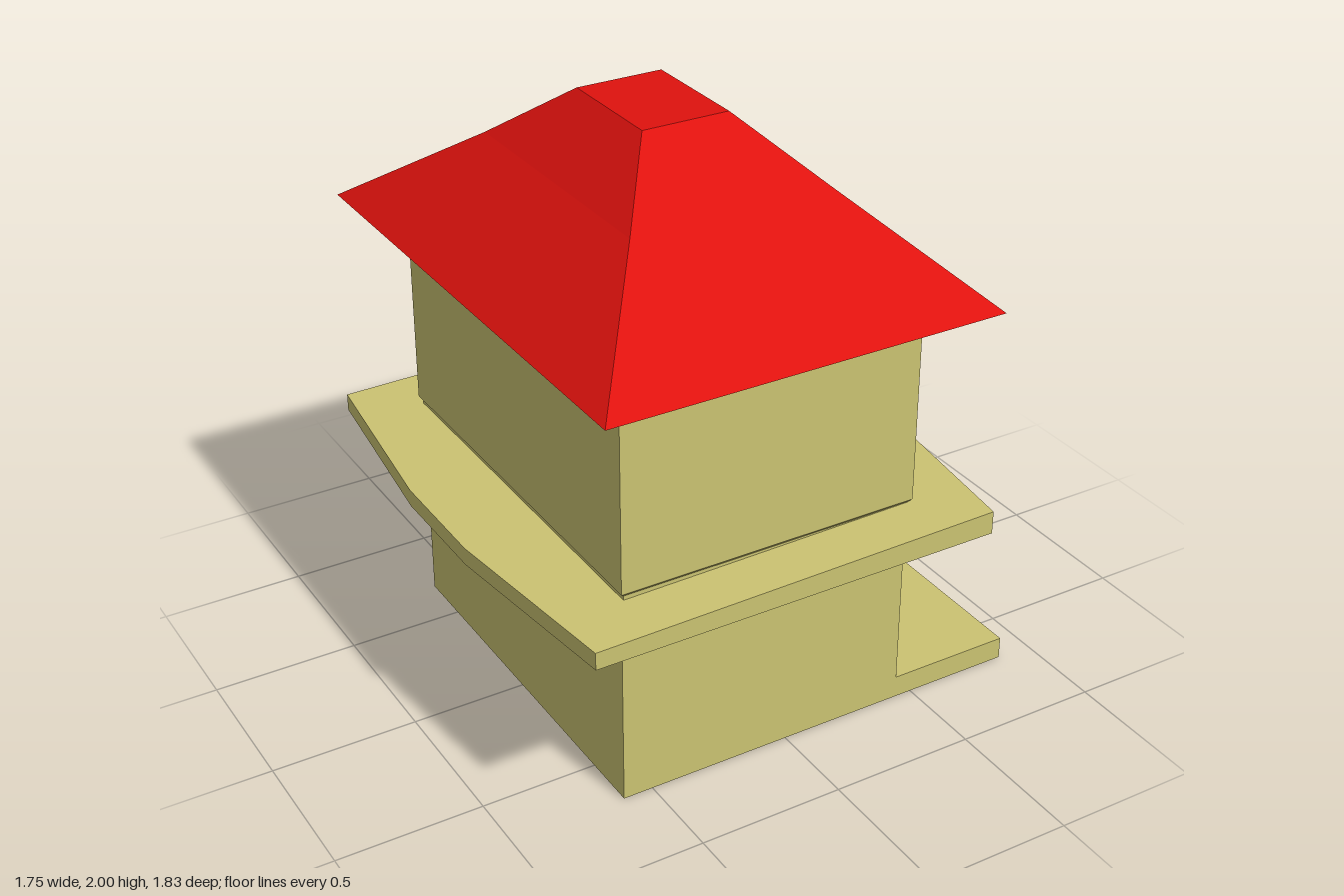
import * as THREE from 'three';

const mat = (color, extra = {}) => new THREE.MeshStandardMaterial({ color, ...extra });

// Closed solid through rectangular rings, each [y, x0, x1, z0, z1], bottom to top
function loftRects(rings) {
  const pts = rings.map(([y, x0, x1, z0, z1]) => [[x0, y, z1], [x1, y, z1], [x1, y, z0], [x0, y, z0]]);
  const pos = [];
  const quad = (a, b, c, d) => pos.push(...a, ...b, ...c, ...a, ...c, ...d);
  for (let i = 0; i < pts.length - 1; i++) {
    for (let k = 0; k < 4; k++) {
      const n = (k + 1) % 4;
      quad(pts[i][k], pts[i][n], pts[i + 1][n], pts[i + 1][k]);
    }
  }
  const b = pts[0], t = pts[pts.length - 1];
  quad(b[3], b[2], b[1], b[0]);
  quad(t[0], t[1], t[2], t[3]);
  const g = new THREE.BufferGeometry();
  g.setAttribute('position', new THREE.Float32BufferAttribute(pos, 3));
  g.computeVertexNormals();
  return g;
}

function rectPath(path, z0, z1, y0, y1) {
  path.moveTo(-z1, y0);
  path.lineTo(-z0, y0);
  path.lineTo(-z0, y1);
  path.lineTo(-z1, y1);
  path.closePath();
  return path;
}

// Wall facing +x with rectangular openings; rectangles are [z0, z1, y0, y1]
function openWall(rect, openings, xBack, depth) {
  const shape = rectPath(new THREE.Shape(), ...rect);
  for (const o of openings) shape.holes.push(rectPath(new THREE.Path(), ...o));
  const g = new THREE.ExtrudeGeometry(shape, { depth, bevelEnabled: false });
  return g.rotateY(Math.PI / 2).translate(xBack, 0, 0);
}

export function createModel() {
  const house = new THREE.Group();
  house.name = 'house';
  const wall = mat(0xcbc372), red = mat(0xdf120e);
  const glass = mat(0x66aed2), wood = mat(0xcc702c);

  const add = (name, geometry, material) => {
    const m = new THREE.Mesh(geometry, material);
    m.name = name;
    house.add(m);
    return m;
  };
  const block = (name, x0, x1, y0, y1, z0, z1, material) => {
    const g = new THREE.BoxGeometry(x1 - x0, y1 - y0, z1 - z0);
    g.translate((x0 + x1) / 2, (y0 + y1) / 2, (z0 + z1) / 2);
    return add(name, g, material);
  };

  // Ground floor and porch
  const recess = 0.022;
  const xLow = 0.439, xUp = 0.45;
  const lowWindows = [[0.33, 0.573, 0.234, 0.535], [-0.568, -0.338, 0.234, 0.535]];
  const doorway = [-0.17, 0.16, 0.1, 0.597];
  block('groundFloor', -0.603, xLow - recess, 0, 0.7, -0.69, 0.693, wall);
  block('porch', xLow - recess, 0.875, 0, 0.078, -0.69, 0.693, wall);
  add('groundFloorFrontWall',
    openWall([-0.69, 0.693, 0.078, 0.7], [...lowWindows, doorway], xLow - recess, recess), wall);
  block('door', xLow - recess, xLow + 0.005, 0.11, 0.588, -0.16, 0.15, wood);
  for (const [z0, z1, y0, y1] of lowWindows) {
    block('groundFloorWindow', xLow - recess, xLow - recess + 0.003, y0, y1, z0, z1, glass);
  }

  // Canopy slab with pointed long sides and a gently sloping top
  const outline = new THREE.Shape([
    [-0.8, -0.89], [0.635, -0.89], [0.716, -0.2], [0.716, 0.2],
    [0.635, 0.89], [-0.8, 0.89], [-0.88, 0.2], [-0.88, -0.2],
  ].map(([x, y]) => new THREE.Vector2(x, y)));
  const slab = new THREE.ExtrudeGeometry(outline, { depth: 0.08, bevelEnabled: false });
  slab.rotateX(-Math.PI / 2).translate(0, 0.69, 0);
  const p = slab.attributes.position;
  for (let i = 0; i < p.count; i++) {
    if (p.getY(i) > 0.73) p.setY(i, 0.75 + 0.02 * THREE.MathUtils.clamp((p.getX(i) + 0.8) / 1.435, 0, 1));
  }
  slab.computeVertexNormals();
  add('canopySlab', slab, wall);

  // Upper floor, set on a slightly narrower foot
  const upWindow = [-0.186, 0.175, 0.864, 1.297];
  add('upperFloorFoot', loftRects([
    [0.72, -0.6, 0.44, -0.695, 0.7],
    [0.768, -0.6, 0.44, -0.695, 0.7],
    [0.78, -0.612, xUp, -0.704, 0.71],
  ]), wall);
  block('upperFloor', -0.612, xUp - recess, 0.78, 1.4, -0.704, 0.71, wall);
  add('upperFloorFrontWall', openWall([-0.704, 0.71, 0.78, 1.4], [upWindow], xUp - recess, recess), wall);
  block('upperFloorWindow', xUp - recess, xUp - recess + 0.003, upWindow[2], upWindow[3],
    upWindow[0], upWindow[1], glass);
  block('roofCollar', -0.604, 0.442, 1.39, 1.42, -0.696, 0.702, wall);

  // Flat-topped hipped roof with sloping soffits and a slight kink
  add('roof', loftRects([
    [1.41, -0.612, 0.45, -0.706, 0.71],
    [1.49, -0.768, 0.605, -0.915, 0.912],
    [1.8, -0.428, 0.277, -0.472, 0.458],
    [2.0, -0.235, 0.068, -0.208, 0.196],
  ]), red);

  return house;
}
